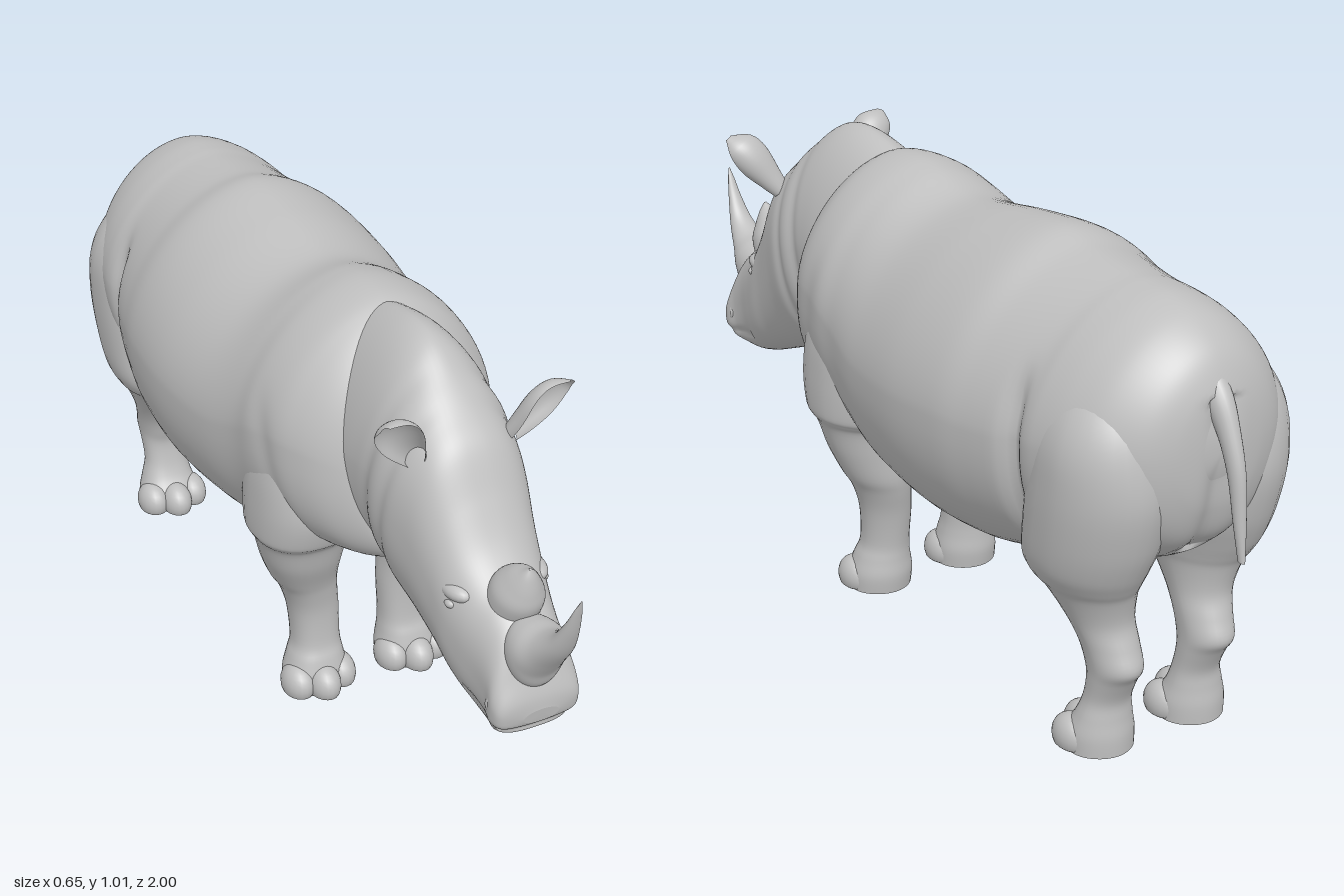
import * as THREE from 'three';

const hide = new THREE.MeshStandardMaterial({ color: 0xbfbfbf, side: THREE.DoubleSide });
hide.name = 'grey hide';

const bell = (d, w) => Math.exp(-((d / w) ** 2));
const pow = (v, e) => Math.sign(v) * Math.abs(v) ** (2 / e);

// Smooth interpolation between the key cross-sections
function refine(rows, sub) {
  const out = [];
  const at = i => rows[Math.max(0, Math.min(rows.length - 1, i))];
  for (let i = 0; i < rows.length - 1; i++) {
    for (let k = 0; k < sub; k++) {
      const t = k / sub;
      out.push(rows[i].map((b, c) => {
        const a = at(i - 1)[c], d = at(i + 1)[c], e = at(i + 2)[c];
        return b + 0.5 * t * (d - a + t * (2 * a - 5 * b + 4 * d - e + t * (3 * (b - d) + e - a)));
      }));
    }
  }
  out.push(rows[rows.length - 1]);
  return out;
}

// Skin over oval sections: [topZ, topY, bottomZ, bottomY, halfWidth, upperPower, lowerPower, centreX]
function loft(name, keys, { sub = 6, seg = 40, shape = p => p } = {}) {
  const rows = refine(keys.map(r => [...r, ...[2, 2, 0].slice(r.length - 5)]), sub);
  const pos = [], index = [];
  const ring = r => {
    for (let j = 0; j < seg; j++) {
      const a = (j / seg) * Math.PI * 2, c = Math.cos(a), s = Math.sin(a);
      const e = s > 0 ? r[5] : r[6];
      const t = 0.5 + 0.5 * pow(s, e);
      const p = new THREE.Vector3(r[7] + r[4] * pow(c, e), r[3] + (r[1] - r[3]) * t, r[2] + (r[0] - r[2]) * t);
      shape(p);
      pos.push(p.x, p.y, p.z);
    }
  };
  rows.forEach(ring);
  for (let i = 0; i < rows.length - 1; i++) {
    for (let j = 0; j < seg; j++) {
      const a = i * seg + j, b = i * seg + (j + 1) % seg;
      index.push(a, b, b + seg, a, b + seg, a + seg);
    }
  }
  // End caps keep their own corners so that soles stay flat
  [rows[0], rows[rows.length - 1]].forEach((r, end) => {
    const first = pos.length / 3;
    ring(r);
    const mid = pos.length / 3;
    pos.push(r[7], (r[1] + r[3]) / 2, (r[0] + r[2]) / 2);
    for (let j = 0; j < seg; j++) {
      const a = first + j, b = first + (j + 1) % seg;
      if (end) index.push(a, b, mid);
      else index.push(b, a, mid);
    }
  });
  const g = new THREE.BufferGeometry();
  g.setAttribute('position', new THREE.Float32BufferAttribute(pos, 3));
  g.setIndex(index);
  g.computeVertexNormals();
  return named(name, g);
}

function named(name, geometry) {
  const m = new THREE.Mesh(geometry, hide);
  m.name = name;
  return m;
}

function blob(name, x, y, z, rx, ry, rz) {
  const g = new THREE.SphereGeometry(1, 20, 14).scale(rx, ry, rz).translate(x, y, z);
  const p = g.attributes.position;
  for (let i = 0; i < p.count; i++) p.setY(i, Math.max(0, p.getY(i)));
  return named(name, g);
}

// Leg rows: [y, backZ, frontZ, innerX, outerX]
function leg(name, rows, side, toeZ) {
  const g = new THREE.Group();
  g.name = name;
  g.add(loft(name + 'Limb', rows.map(([y, b, f, i, o]) =>
    [b, y, f, y, (o - i) / 2, 1.9, 2.4, side * (i + o) / 2]), { sub: 5, seg: 32 }));
  [[0.067, -0.028], [0.118, 0], [0.169, -0.028]].forEach(([x, dz]) =>
    g.add(blob('toe', side * x, 0.024, toeZ + dz, 0.037, 0.046, 0.05)));
  return g;
}

// Cupped ear, rolled into a tube at its root, with a broad tip
function ear(side) {
  const root = new THREE.Vector3(0.105, 0.825, 0.55);
  const axis = new THREE.Vector3(0.53, 0.78, 0.4).normalize();
  const face = new THREE.Vector3(0.35, -0.1, 0.93);
  face.addScaledVector(axis, -face.dot(axis)).normalize();
  const across = new THREE.Vector3().crossVectors(axis, face);
  const width = new THREE.SplineCurve([[0, 0.022], [0.25, 0.032], [0.6, 0.045], [0.85, 0.04], [1, 0.01]]
    .map(p => new THREE.Vector2(...p)));
  const g = new THREE.PlaneGeometry(1, 1, 20, 16), p = g.attributes.position;
  for (let i = 0; i < p.count; i++) {
    const q = width.getPoint(p.getY(i) + 0.5), a = p.getX(i) * 2 * (2.5 - 1.3 * q.x);
    const v = root.clone().addScaledVector(axis, q.x * 0.165)
      .addScaledVector(across, q.y * Math.sin(a)).addScaledVector(face, -q.y * 0.8 * Math.cos(a));
    // The outer corner of the tip is drawn out sideways
    v.x += 0.016 * q.x ** 6;
    p.setXYZ(i, side * v.x, v.y, v.z);
  }
  if (side < 0) g.setIndex([...g.index.array].reverse());
  g.computeVertexNormals();
  return named(side > 0 ? 'leftEar' : 'rightEar', g);
}

export function createModel() {
  const model = new THREE.Group();
  model.name = 'rhinoceros';

  // Barrel of the body, rump to shoulders: [topZ, topY, bottomZ, bottomY, halfWidth, upperPower, lowerPower]
  model.add(loft('body', [
    [-0.925, 0.77, -0.925, 0.63, 0.045, 1.9, 2], [-0.912, 0.83, -0.912, 0.56, 0.11, 1.9, 2],
    [-0.88, 0.89, -0.88, 0.49, 0.172, 1.85, 2], [-0.82, 0.935, -0.82, 0.44, 0.226, 1.8, 2],
    [-0.75, 0.957, -0.75, 0.41, 0.256, 1.75, 2], [-0.68, 0.963, -0.68, 0.385, 0.27, 1.75, 2.1],
    [-0.62, 0.965, -0.62, 0.365, 0.273, 1.75, 2.2], [-0.50, 0.976, -0.50, 0.33, 0.30, 1.75, 2.2],
    [-0.40, 0.998, -0.40, 0.307, 0.318, 1.75, 2.2], [-0.25, 0.985, -0.25, 0.30, 0.322, 1.75, 2.2],
    [-0.07, 0.962, -0.07, 0.315, 0.30, 1.75, 2.2], [0.05, 0.992, 0.05, 0.35, 0.278, 1.75, 2.3],
    [0.12, 1.003, 0.13, 0.40, 0.272, 1.75, 2.5], [0.19, 1.0, 0.23, 0.43, 0.255, 1.75, 2.6],
    [0.235, 0.985, 0.30, 0.445, 0.23, 1.75, 2.6], [0.28, 0.955, 0.355, 0.458, 0.195, 1.8, 2.5],
    [0.32, 0.91, 0.395, 0.48, 0.15, 1.9, 2.2], [0.345, 0.86, 0.41, 0.52, 0.10],
  ], {
    sub: 8, seg: 72,
    shape: p => {
      // Fold in front of the thigh, soft fold behind the shoulder, cleft under the tail
      const low = THREE.MathUtils.smoothstep(0.84 - p.y, 0, 0.12);
      p.x *= 1 - 0.08 * low * bell(p.z + 0.61, 0.022)
        - 0.02 * low * bell(p.z - 0.2 + 0.25 * (p.y - 0.6), 0.03);
      if (p.z < -0.84 && p.y < 0.8) p.z += 0.02 * bell(p.x, 0.03);
    },
  }));

  // Neck and head down to the lips
  model.add(loft('neckAndHead', [
    [0.15, 0.97, 0.15, 0.50, 0.15, 1.7, 2], [0.27, 1.003, 0.24, 0.435, 0.158, 1.7, 2],
    [0.36, 1.014, 0.31, 0.44, 0.158, 1.7, 2], [0.43, 0.998, 0.38, 0.468, 0.153, 1.8, 2],
    [0.50, 0.945, 0.43, 0.465, 0.157, 2, 2.1], [0.55, 0.90, 0.48, 0.44, 0.152, 2.2, 2.1],
    [0.60, 0.85, 0.55, 0.415, 0.138, 2.4, 2.2], [0.65, 0.76, 0.63, 0.385, 0.125, 2.4, 2.3],
    [0.70, 0.68, 0.68, 0.365, 0.118, 2.4, 2.4], [0.75, 0.63, 0.72, 0.35, 0.108, 2.4, 2.6],
    [0.80, 0.60, 0.77, 0.337, 0.097, 2.3, 2.8], [0.84, 0.56, 0.81, 0.337, 0.094, 2.3, 3],
    [0.868, 0.49, 0.845, 0.345, 0.098, 2.4, 3], [0.885, 0.445, 0.874, 0.36, 0.085, 2.4, 2.8],
    [0.89, 0.415, 0.886, 0.382, 0.04],
  ], {
    sub: 8, seg: 72,
    shape: p => {
      // Mouth line and neck folds
      if (p.z > 0.74) {
        const lip = bell(p.y - 0.372 - 0.2 * (0.87 - p.z), 0.009);
        p.x *= 1 - 0.06 * lip;
        if (p.z > 0.86) p.z -= 0.008 * lip;
      }
      const lean = p.z + 0.2 * (0.7 - p.y);
      p.x *= 1 - 0.04 * bell(lean - 0.42, 0.018) - 0.04 * bell(lean - 0.49, 0.018);
    },
  }));

  // Horns and tail
  model.add(loft('frontHorn', [
    [0.79, 0.56, 0.84, 0.44, 0.052], [0.81, 0.59, 0.88, 0.465, 0.062], [0.845, 0.60, 0.897, 0.50, 0.06],
    [0.89, 0.607, 0.92, 0.535, 0.045], [0.935, 0.635, 0.957, 0.59, 0.03], [0.967, 0.68, 0.98, 0.648, 0.018],
    [0.988, 0.72, 0.994, 0.705, 0.009], [1.0, 0.742, 1.0, 0.739, 0.002],
  ]));
  model.add(loft('rearHorn', [
    [0.71, 0.62, 0.81, 0.56, 0.056], [0.73, 0.655, 0.832, 0.605, 0.053], [0.765, 0.68, 0.834, 0.64, 0.036],
    [0.80, 0.693, 0.829, 0.678, 0.017], [0.818, 0.703, 0.822, 0.70, 0.003],
  ]));
  model.add(loft('tail', [
    [-1.0, 0.49, -0.982, 0.494, 0.006], [-0.994, 0.57, -0.967, 0.57, 0.013], [-0.984, 0.67, -0.946, 0.66, 0.017],
    [-0.956, 0.757, -0.915, 0.73, 0.022], [-0.928, 0.815, -0.88, 0.77, 0.028], [-0.885, 0.865, -0.83, 0.80, 0.03],
  ], { seg: 20 }));

  const foreRows = [
    [0, 0.05, 0.18, 0.045, 0.19], [0.04, 0.045, 0.18, 0.043, 0.19], [0.08, 0.048, 0.17, 0.05, 0.178],
    [0.12, 0.048, 0.157, 0.055, 0.166], [0.20, 0.035, 0.155, 0.055, 0.17], [0.26, 0.02, 0.165, 0.06, 0.187],
    [0.30, 0.012, 0.178, 0.062, 0.21], [0.36, 0.01, 0.205, 0.06, 0.235], [0.42, 0.005, 0.225, 0.05, 0.252],
    [0.44, -0.005, 0.24, 0.05, 0.264], [0.46, -0.02, 0.255, 0.04, 0.27], [0.53, -0.03, 0.27, 0.03, 0.27],
    [0.62, -0.02, 0.26, 0.03, 0.262], [0.71, 0.01, 0.24, 0.05, 0.235], [0.80, 0.05, 0.20, 0.06, 0.16],
  ];
  const hindRows = [
    [0, -0.79, -0.66, 0.045, 0.19], [0.04, -0.79, -0.66, 0.045, 0.19], [0.08, -0.785, -0.685, 0.055, 0.178],
    [0.12, -0.785, -0.70, 0.062, 0.167], [0.17, -0.808, -0.708, 0.063, 0.167], [0.205, -0.83, -0.70, 0.063, 0.17],
    [0.25, -0.815, -0.685, 0.062, 0.177], [0.30, -0.80, -0.655, 0.06, 0.192], [0.36, -0.812, -0.605, 0.05, 0.22],
    [0.39, -0.828, -0.573, 0.04, 0.242], [0.43, -0.85, -0.563, 0.03, 0.26], [0.50, -0.878, -0.573, 0.015, 0.27],
    [0.60, -0.898, -0.588, 0.01, 0.275], [0.70, -0.885, -0.612, 0.02, 0.268], [0.78, -0.85, -0.64, 0.05, 0.23],
    [0.86, -0.79, -0.68, 0.08, 0.15],
  ];
  for (const side of [1, -1]) {
    const label = side > 0 ? 'left' : 'right';
    model.add(leg(label + 'FrontLeg', foreRows, side, 0.167));
    model.add(leg(label + 'HindLeg', hindRows, side, -0.67));
    model.add(ear(side));
    // Eye under a heavy brow, and a raised nostril rim
    model.add(blob(label + 'Eye', side * 0.104, 0.58, 0.70, 0.012, 0.01, 0.014));
    model.add(blob(label + 'Brow', side * 0.083, 0.602, 0.685, 0.031, 0.022, 0.05));
    const nostril = named(label + 'Nostril', new THREE.TorusGeometry(0.016, 0.007, 10, 20));
    nostril.position.set(side * 0.085, 0.425, 0.852);
    nostril.rotation.y = side * 1.1;
    model.add(nostril);
  }
  return model;
}
